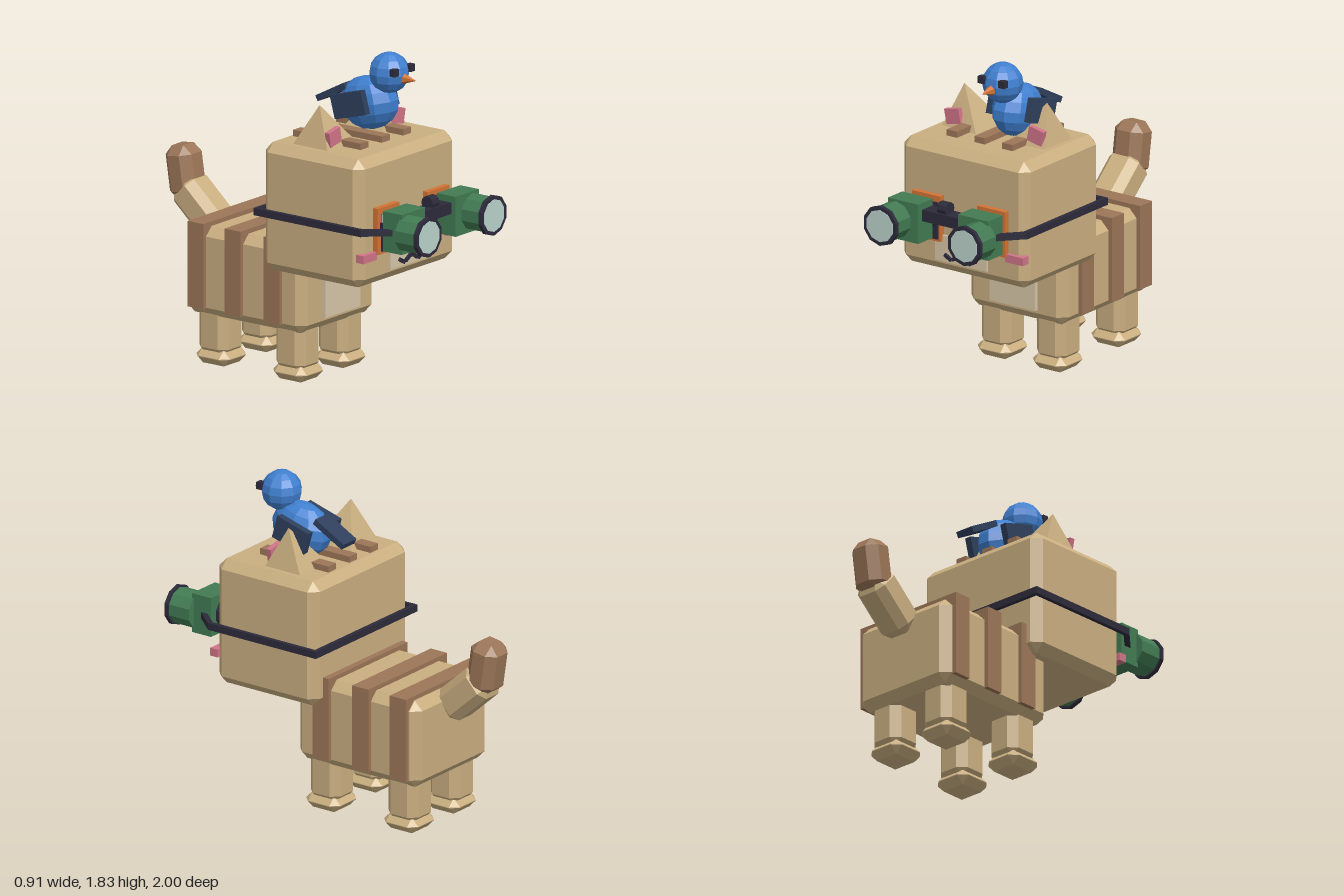
import * as THREE from 'three';
import { ConvexGeometry } from 'three/addons/geometries/ConvexGeometry.js';

const material = (name, color) => new THREE.MeshStandardMaterial({ name, color, flatShading: true });

export function createModel() {
  const root = new THREE.Group();
  root.name = 'catWithBinocularsAndBird';
  const tan = material('tan fur', 0xc9ae80);
  const brown = material('brown stripe', 0x9c7658);
  const cream = material('cream fur', 0xd8c7a8);
  const green = material('green casing', 0x427b53);
  const dark = material('dark rubber', 0x2d2b3b);
  const slate = material('slate feather', 0x2e3f5c);
  const pink = material('pink', 0xd07488);
  const orange = material('orange', 0xd27335);
  const blue = material('blue feather', 0x4080d0);
  const glass = material('pale glass', 0xbcd4cd);

  const add = (name, geometry, mat, pos = [0, 0, 0], rot = [0, 0, 0]) => {
    const mesh = new THREE.Mesh(geometry, mat);
    mesh.name = name;
    mesh.position.set(...pos);
    mesh.rotation.set(...rot);
    root.add(mesh);
    return mesh;
  };
  const box = (name, size, mat, pos, rot) => add(name, new THREE.BoxGeometry(...size), mat, pos, rot);

  // box with every edge and corner cut off
  const chamferBox = (name, [w, h, d], c, mat, pos, rot) => {
    const points = [];
    for (const x of [-w / 2, w / 2]) for (const y of [-h / 2, h / 2]) for (const z of [-d / 2, d / 2]) {
      const ix = x - Math.sign(x) * c, iy = y - Math.sign(y) * c, iz = z - Math.sign(z) * c;
      points.push(new THREE.Vector3(x, iy, iz), new THREE.Vector3(ix, y, iz), new THREE.Vector3(ix, iy, z));
    }
    return add(name, new ConvexGeometry(points), mat, pos, rot);
  };

  // straight bar between two points
  const bar = (name, a, b, w, h, mat) => {
    const from = new THREE.Vector3(...a), to = new THREE.Vector3(...b);
    const mesh = box(name, [w, h, from.distanceTo(to)], mat);
    mesh.position.copy(from).add(to).multiplyScalar(0.5);
    mesh.lookAt(to);
    return mesh;
  };

  // ten-sided cylinder along z
  const barrel = (name, r, z0, z1, x, y, mat) =>
    add(name, new THREE.CylinderGeometry(r, r, z1 - z0, 10).rotateX(Math.PI / 2), mat, [x, y, (z0 + z1) / 2]);

  // body, chest and stripes
  chamferBox('body', [0.66, 0.5, 0.83], 0.05, tan, [0, 0.535, -0.255]);
  box('chestPatch', [0.31, 0.31, 0.03], cream, [0, 0.51, 0.167]);
  for (const z of [-0.033, -0.303, -0.558]) box('bodyStripe', [0.705, 0.48, 0.11], brown, [0, 0.57, z]);

  // legs and paws
  for (const x of [-0.187, 0.187]) for (const z of [0.015, -0.515]) {
    chamferBox('leg', [0.2, 0.32, 0.205], 0.045, tan, [x, 0.21, z]);
    chamferBox('paw', [0.226, 0.09, 0.23], 0.043, tan, [x, 0.045, z + 0.005]);
  }

  // tail
  chamferBox('tailBase', [0.2, 0.34, 0.2], 0.045, tan, [0, 0.79, -0.775], [-0.84, 0, 0]);
  chamferBox('tailTip', [0.19, 0.3, 0.18], 0.05, brown, [0, 0.968, -0.9], [-0.15, 0, 0]);

  // head
  chamferBox('head', [0.86, 0.72, 0.685], 0.05, tan, [0, 1.005, 0.292]);
  for (const x of [-0.188, 0, 0.188]) box('headStripe', [0.07, 0.06, 0.465], brown, [x, 1.37, 0.245]);
  for (const s of [-1, 1]) {
    const corners = [[0.35, 0.11], [0.1, 0.1], [0.105, 0.37], [0.35, 0.35]];
    const earPoints = corners.map(([x, z]) => new THREE.Vector3(s * x, 1.36, z));
    earPoints.push(new THREE.Vector3(s * 0.28, 1.59, 0.24));
    add('ear', new ConvexGeometry(earPoints), tan);
    box('innerEar', [0.098, 0.085, 0.03], pink, [s * 0.28, 1.427, 0.335], [0, 0, -s * 0.2]);
    box('cheek', [0.12, 0.045, 0.05], pink, [s * 0.37, 0.82, 0.635]);
  }

  // muzzle, nose and mouth
  box('muzzle', [0.35, 0.15, 0.02], cream, [0, 0.785, 0.637]);
  box('nose', [0.095, 0.065, 0.04], pink, [0, 0.848, 0.653]);
  bar('mouthStem', [0, 0.82, 0.65], [0, 0.75, 0.65], 0.02, 0.02, dark);
  for (const s of [-1, 1]) {
    bar('mouthInner', [0, 0.767, 0.65], [s * 0.052, 0.735, 0.65], 0.02, 0.02, dark);
    bar('mouthOuter', [s * 0.06, 0.73, 0.65], [s * 0.105, 0.755, 0.65], 0.02, 0.02, dark);
  }

  // eyes and binoculars
  const by = 0.975;
  for (const s of [-1, 1]) {
    box('eyeFrame', [0.19, 0.26, 0.04], orange, [s * 0.22, 0.955, 0.648]);
    box('eye', [0.15, 0.21, 0.012], dark, [s * 0.21, 0.945, 0.672]);
    box('eyeShine', [0.055, 0.06, 0.01], glass, [s * 0.265, 1.02, 0.682]);
    barrel('eyepiece', 0.085, 0.67, 0.74, s * 0.215, by, dark);
    box('prismHousing', [0.205, 0.225, 0.13], green, [s * 0.237, by, 0.788]);
    barrel('objectiveTube', 0.103, 0.84, 0.98, s * 0.285, by, green);
    barrel('objectiveRim', 0.114, 0.976, 0.999, s * 0.285, by, dark);
    barrel('lens', 0.092, 0.98, 1.001, s * 0.285, by, glass);
  }
  box('bridge', [0.25, 0.065, 0.09], dark, [0, 1.022, 0.785]);
  add('focusKnob', new THREE.CylinderGeometry(0.04, 0.04, 0.06, 10).rotateZ(Math.PI / 2), dark, [0, 1.075, 0.785]);

  // strap around the head
  for (const s of [-1, 1]) {
    bar('strapSide', [s * 0.442, by, -0.07], [s * 0.442, by, 0.66], 0.025, 0.04, dark);
    bar('strapFront', [s * 0.442, by, 0.65], [s * 0.33, by, 0.78], 0.03, 0.035, dark);
  }
  box('strapBack', [0.91, 0.04, 0.025], dark, [0, by, -0.066]);

  // bird
  const bx = 0.11;
  const birdBody = add('birdBody', new THREE.SphereGeometry(1, 10, 8), blue, [bx, 1.53, 0.278], [-0.2, 0, 0]);
  birdBody.scale.set(0.12, 0.15, 0.185);
  add('birdHead', new THREE.SphereGeometry(0.113, 10, 8), blue, [bx, 1.72, 0.415]);
  add('birdBeak', new THREE.ConeGeometry(0.032, 0.09, 6).rotateX(Math.PI / 2), orange, [bx, 1.702, 0.555]);
  box('birdTail', [0.115, 0.035, 0.22], slate, [bx, 1.56, 0.055], [-0.49, 0, 0]);
  for (const s of [-1, 1]) {
    box('birdWing', [0.04, 0.135, 0.22], slate, [bx + s * 0.13, 1.538, 0.245], [-0.27, 0, 0]);
    box('birdEye', [0.04, 0.04, 0.035], dark, [bx + s * 0.07, 1.747, 0.505]);
  }
  return root;
}
